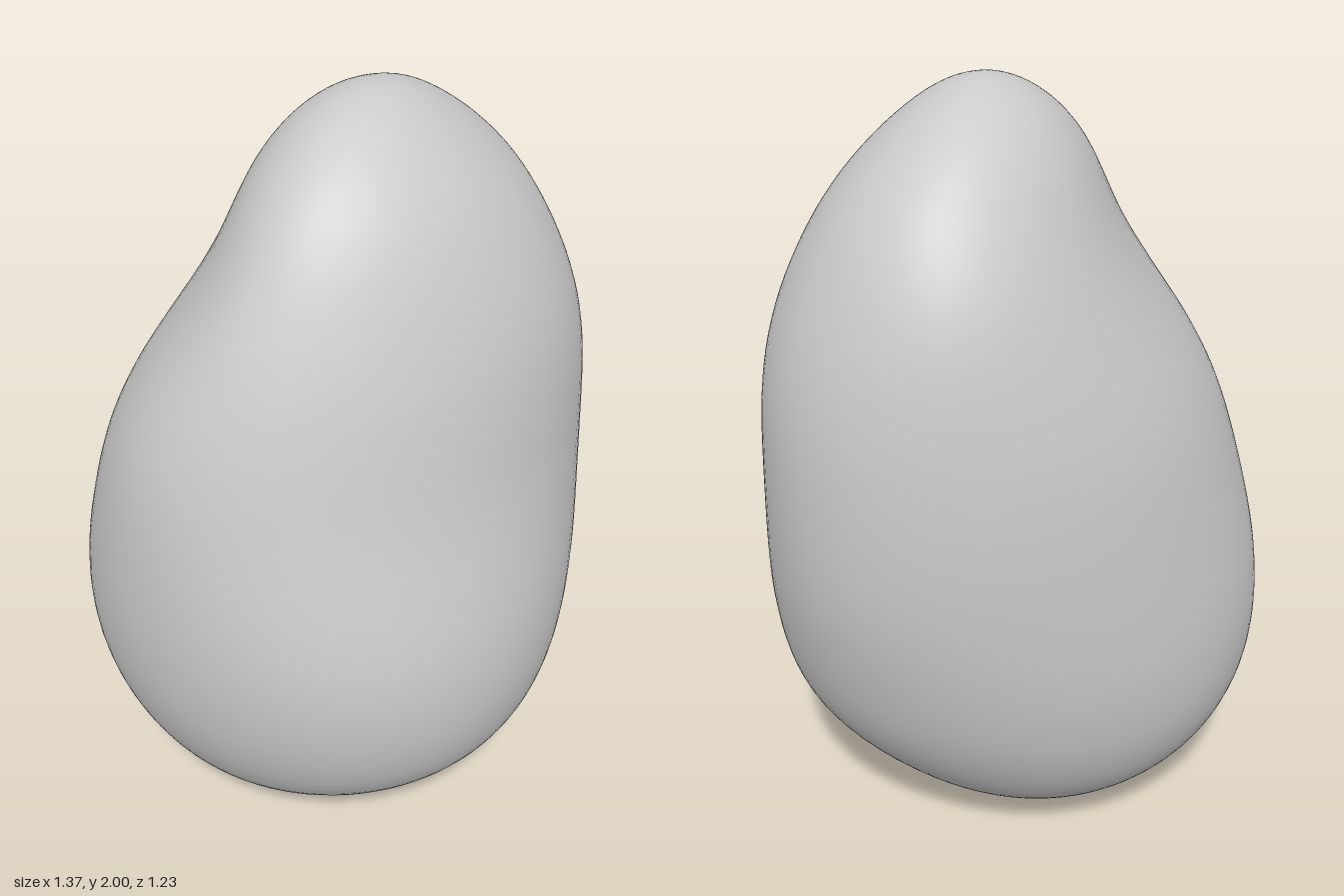
import * as THREE from 'three';
import { mergeVertices } from 'three/addons/utils/BufferGeometryUtils.js';

// Each level: height, then the reach of the stone in eight directions,
// every 45 degrees from +x towards +z.
const LEVELS = [
  [0, -0.09, -0.106, -0.06, 0.021, 0.09, 0.106, 0.06, -0.021],
  [0.03, 0.11, 0.1, 0.15, 0.22, 0.28, 0.3, 0.25, 0.18],
  [0.12, 0.3, 0.3, 0.355, 0.385, 0.47, 0.495, 0.425, 0.35],
  [0.27, 0.485, 0.475, 0.535, 0.52, 0.59, 0.62, 0.56, 0.46],
  [0.41, 0.585, 0.56, 0.6, 0.59, 0.645, 0.685, 0.605, 0.53],
  [0.6, 0.64, 0.605, 0.62, 0.635, 0.675, 0.71, 0.615, 0.59],
  [0.8, 0.675, 0.615, 0.595, 0.643, 0.672, 0.69, 0.595, 0.63],
  [1, 0.678, 0.61, 0.535, 0.62, 0.65, 0.64, 0.567, 0.65],
  [1.22, 0.675, 0.6, 0.49, 0.58, 0.612, 0.565, 0.535, 0.645],
  [1.39, 0.655, 0.58, 0.468, 0.53, 0.54, 0.455, 0.487, 0.625],
  [1.62, 0.57, 0.5, 0.395, 0.435, 0.41, 0.29, 0.41, 0.57],
  [1.8, 0.455, 0.38, 0.308, 0.335, 0.3, 0.215, 0.31, 0.46],
  [1.9, 0.34, 0.265, 0.225, 0.235, 0.2, 0.15, 0.23, 0.345],
  [2, 0.07, 0.05, 0, -0.05, -0.07, -0.05, 0, 0.05],
];

// Levels by polar angle, continued over both poles so the ends close smoothly
const levels = LEVELS.map(([y, ...reach]) => ({ t: Math.acos(1 - y), reach }));
const overPole = (pole) => (k) => ({
  t: 2 * pole - k.t,
  reach: k.reach.map((_, d) => -k.reach[(d + 4) % 8]),
});
const knots = [
  ...levels.slice(1, 3).reverse().map(overPole(0)),
  ...levels,
  ...levels.slice(-3, -1).reverse().map(overPole(Math.PI)),
];

// Vertical interpolation of the eight reaches
function reachAt(t) {
  let i = 1;
  while (i < knots.length - 3 && t > knots[i + 1].t) i++;
  const [a, b, c, d] = knots.slice(i - 1, i + 3);
  const w = c.t - b.t, u = (t - b.t) / w;
  return b.reach.map((p, k) => {
    const q = c.reach[k];
    const m = ((q - a.reach[k]) / (c.t - a.t)) * w;
    const n = ((d.reach[k] - p) / (d.t - b.t)) * w;
    return p * (1 + 2 * u) * (1 - u) ** 2 + m * u * (1 - u) ** 2
      + q * u * u * (3 - 2 * u) + n * u * u * (u - 1);
  });
}

// Averaged over a short span, so no level shows as a band
function smoothReach(t) {
  const span = [-0.12, -0.06, 0, 0.06, 0.12].map((s) => reachAt(t + s));
  return span[0].map((_, d) => span.reduce((sum, r) => sum + r[d], 0) / span.length);
}

// Rounded outline touching the eight reaches: a short Fourier series of the
// support distance h, with the point at h * normal + h' * tangent.
// The third wave fades out towards the poles.
function outline(t, sides) {
  const reach = smoothReach(t);
  const waves = [1 / 8, 1 / 4, 1 / 4, 0.2 * Math.sin(t) ** 2].map((s, n) => {
    let a = 0, b = 0;
    reach.forEach((r, d) => {
      a += s * r * Math.cos((n * d * Math.PI) / 4);
      b += s * r * Math.sin((n * d * Math.PI) / 4);
    });
    return { n, a, b };
  });
  // At the poles only the centre remains
  const open = Math.sin(t) > 1e-6;
  return Array.from({ length: sides }, (_, j) => {
    const q = (j / sides) * Math.PI * 2;
    let h = 0, dh = 0;
    for (const { n, a, b } of open ? waves : [waves[1]]) {
      h += a * Math.cos(n * q) + b * Math.sin(n * q);
      dh += n * (b * Math.cos(n * q) - a * Math.sin(n * q));
    }
    return [h * Math.cos(q) - dh * Math.sin(q), h * Math.sin(q) + dh * Math.cos(q)];
  });
}

function stoneGeometry(rings = 80, sides = 96) {
  const positions = [], index = [];
  for (let i = 0; i <= rings; i++) {
    const t = (i / rings) * Math.PI;
    for (const [x, z] of outline(t, sides)) positions.push(x, 1 - Math.cos(t), z);
  }
  for (let i = 0; i < rings; i++) {
    for (let j = 0; j < sides; j++) {
      const a = i * sides + j, b = i * sides + ((j + 1) % sides);
      if (i > 0) index.push(a, a + sides, b);
      if (i < rings - 1) index.push(b, a + sides, b + sides);
    }
  }
  const shell = new THREE.BufferGeometry();
  shell.setAttribute('position', new THREE.Float32BufferAttribute(positions, 3));
  shell.setIndex(index);
  const geometry = mergeVertices(shell, 1e-5);
  geometry.computeVertexNormals();
  return geometry;
}

export function createModel() {
  const group = new THREE.Group();
  group.name = 'stone';
  const body = new THREE.Mesh(
    stoneGeometry(),
    new THREE.MeshStandardMaterial({ color: 0xcccccc }),
  );
  body.name = 'stoneBody';
  group.add(body);
  return group;
}
